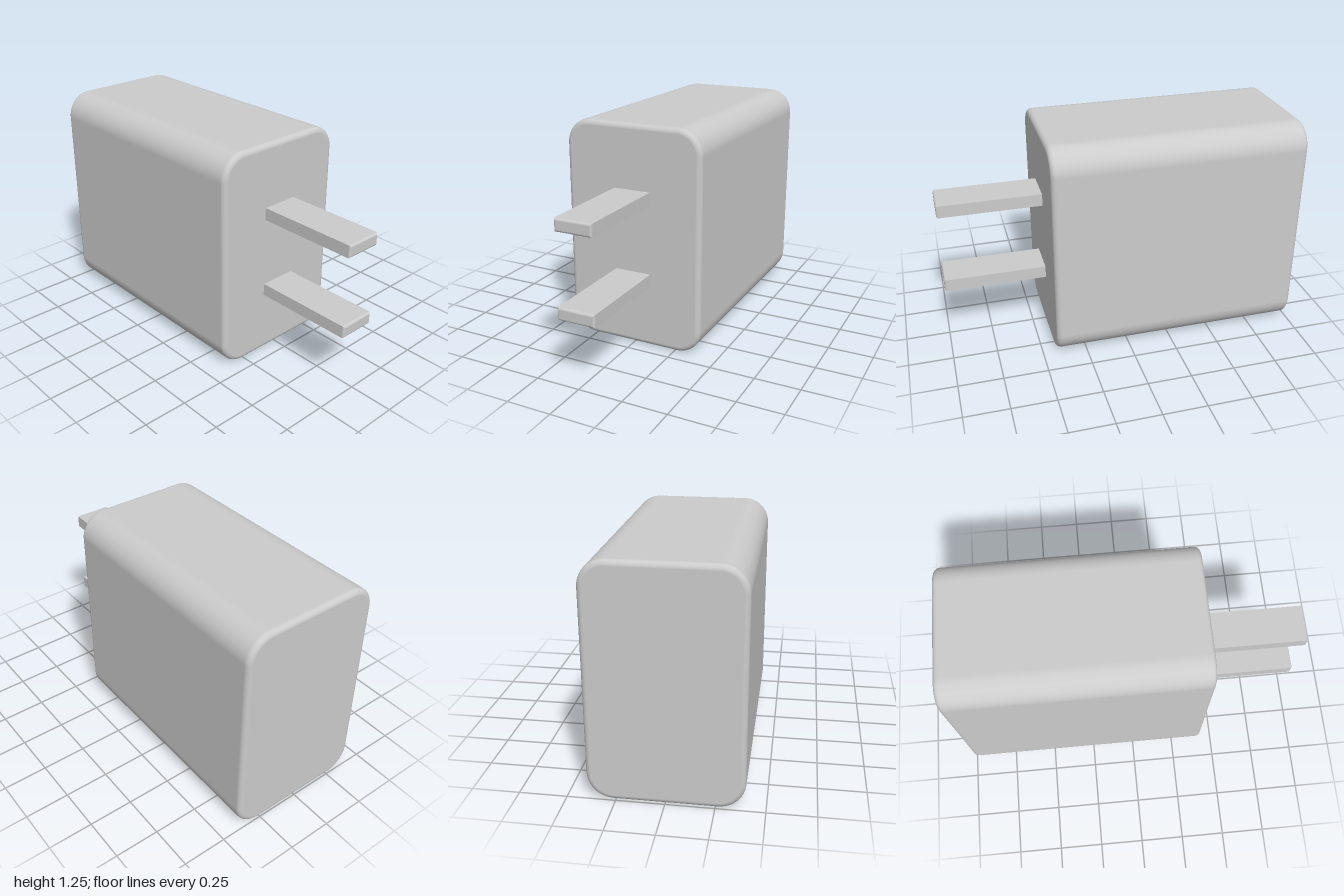
import * as THREE from 'three';

// Rounded rectangle (sharp when r is 0), centred on the origin
function outline(w, h, r) {
  const s = new THREE.Shape();
  const x = w / 2, y = h / 2;
  if (r === 0) {
    s.moveTo(-x, -y).lineTo(x, -y).lineTo(x, y).lineTo(-x, y).closePath();
    return s;
  }
  s.absarc(x - r, y - r, r, 0, Math.PI / 2);
  s.absarc(-x + r, y - r, r, Math.PI / 2, Math.PI);
  s.absarc(-x + r, -y + r, r, Math.PI, Math.PI * 1.5);
  s.absarc(x - r, -y + r, r, Math.PI * 1.5, Math.PI * 2);
  s.closePath();
  return s;
}

// Bar of the given total length with rounded end edges, centred on the origin
function bar(w, h, r, length, bevel, bevelSegments) {
  const geo = new THREE.ExtrudeGeometry(outline(w, h, r), {
    depth: length - 2 * bevel, curveSegments: 12,
    bevelThickness: bevel, bevelSize: bevel, bevelOffset: -bevel, bevelSegments,
  });
  return geo.translate(0, 0, bevel - length / 2);
}

// Smooth normals of a rounded bar: radial around the corners, turning axial over the end bevels
function smoothBar(geo, w, h, r, length, bevel) {
  const p = geo.attributes.position, n = geo.attributes.normal;
  const cx = w / 2 - r, cy = h / 2 - r, cz = length / 2 - bevel;
  const beyond = (v, c) => v - THREE.MathUtils.clamp(v, -c, c);
  for (let i = 0; i < p.count; i++) {
    const d = new THREE.Vector3(beyond(p.getX(i), cx), beyond(p.getY(i), cy), 0).normalize();
    const sin = THREE.MathUtils.clamp(beyond(p.getZ(i), cz) / bevel, -1, 1);
    d.multiplyScalar(Math.sqrt(1 - sin * sin));
    d.z = sin;
    d.normalize();
    n.setXYZ(i, d.x, d.y, d.z);
  }
  return geo;
}

export function createModel() {
  const group = new THREE.Group();
  const material = new THREE.MeshStandardMaterial({ color: 0xcccccc });

  const add = (name, geo, x, y) => {
    const mesh = new THREE.Mesh(geo.rotateY(Math.PI / 2), material);
    mesh.name = name;
    mesh.position.set(x, y, 0);
    group.add(mesh);
  };

  // Adapter housing
  const W = 0.8, H = 1.25, R = 0.14, L = 1.425, B = 0.03;
  add('housing', smoothBar(bar(W, H, R, L, B, 6), W, H, R, L, B), -1 + L / 2, H / 2);

  // Two flat prongs, rooted inside the housing
  const prongLength = 0.65;
  for (const [name, y] of [['lowerProng', 0.395], ['upperProng', 0.859]]) {
    add(name, bar(0.212, 0.07, 0, prongLength, 0.012, 4), 1 - prongLength / 2, y);
  }
  return group;
}
